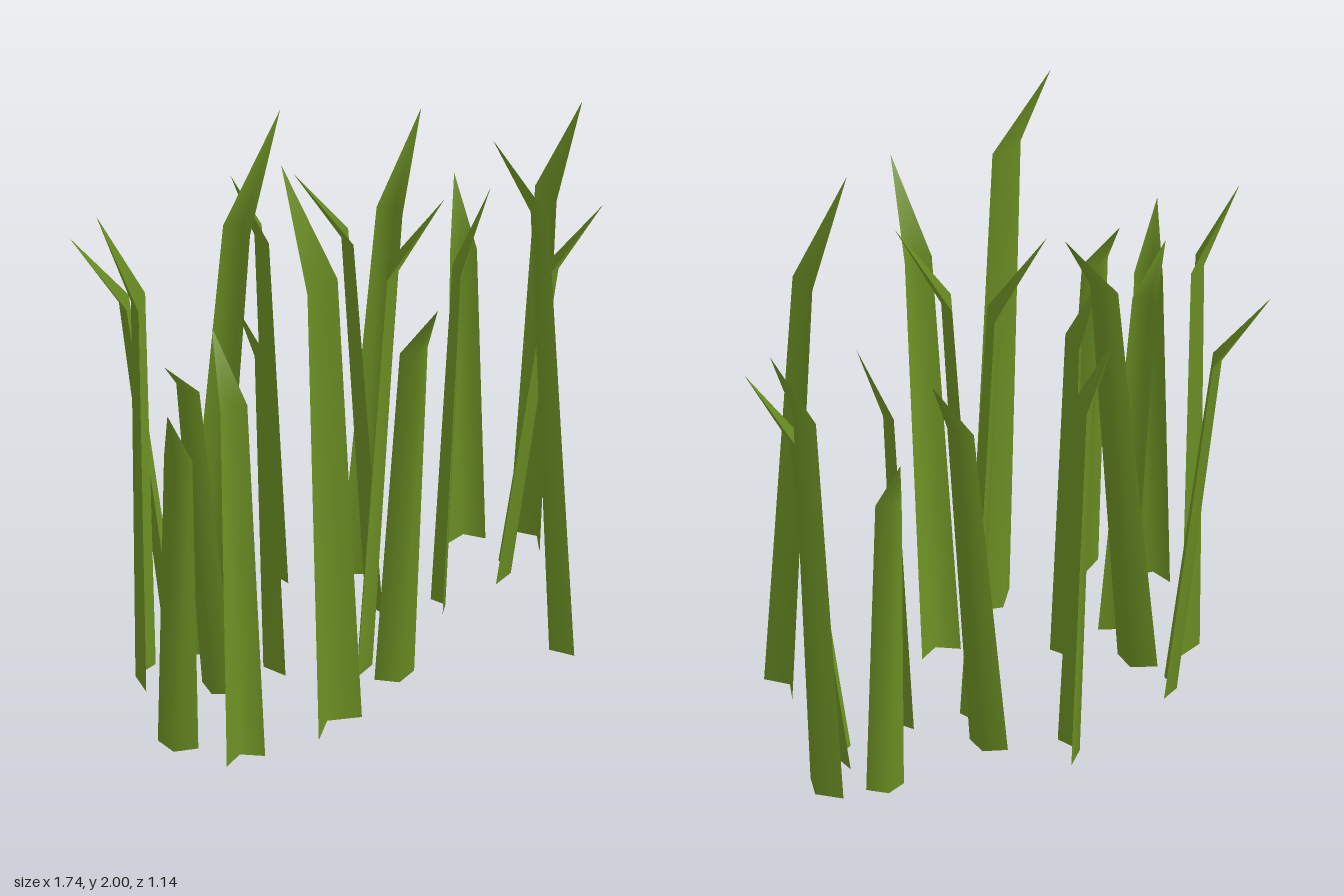
import * as THREE from 'three';

export function createModel() {
  const tuft = new THREE.Group();
  tuft.name = 'grassTuft';
  const green = new THREE.MeshStandardMaterial({ color: 0x6b8e23, side: THREE.DoubleSide });
  green.name = 'grassGreen';

  // V-shaped cross-section: wing, spine, wing; the spine is pushed towards the tip
  const section = (x, y, z, dir, width) => [-1, 0, 1].flatMap((s) => {
    const fold = s === 0 ? width * 0.32 : 0;
    return [
      x - dir.y * s * width / 2 + dir.x * fold,
      y,
      z + dir.x * s * width / 2 + dir.y * fold,
    ];
  });

  // One folded blade: straight stem from base to bend, then a pointed tip
  function blade(width, [bx, bz], [mx, my, mz], [tx, ty, tz]) {
    const dir = new THREE.Vector2(tx - mx, tz - mz).normalize();
    const points = [
      ...section(bx, 0, bz, dir, width),
      ...section(mx, my, mz, dir, width * 0.7),
      tx, ty, tz,
    ];
    const faces = [];
    for (let i = 0; i < 2; i++) {
      faces.push(i, i + 3, i + 1, i + 1, i + 3, i + 4); // stem
      faces.push(i + 3, 6, i + 4); // tip
    }
    const geometry = new THREE.BufferGeometry();
    geometry.setAttribute('position', new THREE.Float32BufferAttribute(points, 3));
    geometry.setIndex(faces);
    geometry.computeVertexNormals();
    const mesh = new THREE.Mesh(geometry, green);
    mesh.name = `grassBlade${tuft.children.length + 1}`;
    tuft.add(mesh);
  }

  // Left-hand cluster: width, base (x, z), bend (x, y, z), tip (x, y, z)
  blade(0.12, [-0.44, -0.36], [-0.55, 1.2, -0.46], [-0.69, 1.43, -0.57]);
  blade(0.15, [-0.64, -0.2], [-0.66, 1.38, -0.22], [-0.76, 1.68, -0.32]);
  blade(0.12, [-0.5, -0.04], [-0.62, 1.16, -0.03], [-0.74, 1.31, 0.02]);
  blade(0.14, [-0.47, -0.19], [-0.28, 1.47, -0.27], [-0.06, 1.78, -0.36]);
  blade(0.18, [-0.315, 0.345], [-0.37, 1.64, 0.33], [-0.4, 2, 0.15]);
  blade(0.14, [-0.28, -0.05], [-0.32, 1.15, -0.06], [-0.41, 1.35, -0.08]);
  blade(0.13, [-0.77, 0.14], [-0.79, 1.08, 0.17], [-0.87, 1.3, 0.23]);
  blade(0.13, [-0.65, 0.33], [-0.6, 1.2, 0.19], [-0.58, 1.41, 0.04]);

  // Middle cluster
  blade(0.15, [0.015, -0.455], [-0.04, 1.25, -0.47], [-0.14, 1.48, -0.51]);
  blade(0.13, [0.17, -0.28], [0.34, 1.25, -0.36], [0.51, 1.52, -0.44]);
  blade(0.13, [0.16, -0.15], [0.03, 1.42, -0.11], [-0.13, 1.67, -0.18]);
  blade(0.14, [-0.08, 0.09], [0.05, 1.38, 0.06], [0.19, 1.65, 0.16]);
  blade(0.13, [-0.02, 0.2], [-0.07, 1.32, 0.38], [-0.11, 1.59, 0.57]);

  // Right-hand cluster
  blade(0.14, [0.49, 0.35], [0.49, 1.54, 0.23], [0.32, 1.86, 0.23]);
  blade(0.12, [0.56, -0.27], [0.57, 1.05, -0.3], [0.61, 1.26, -0.41]);
  blade(0.15, [0.705, -0.17], [0.73, 1.32, -0.09], [0.87, 1.6, -0.1]);
  blade(0.13, [0.545, -0.08], [0.66, 1.14, 0.03], [0.79, 1.38, 0.13]);
  blade(0.09, [0.29, -0.03], [0.39, 1.18, -0.07], [0.5, 1.45, -0.05]);

  return tuft;
}
